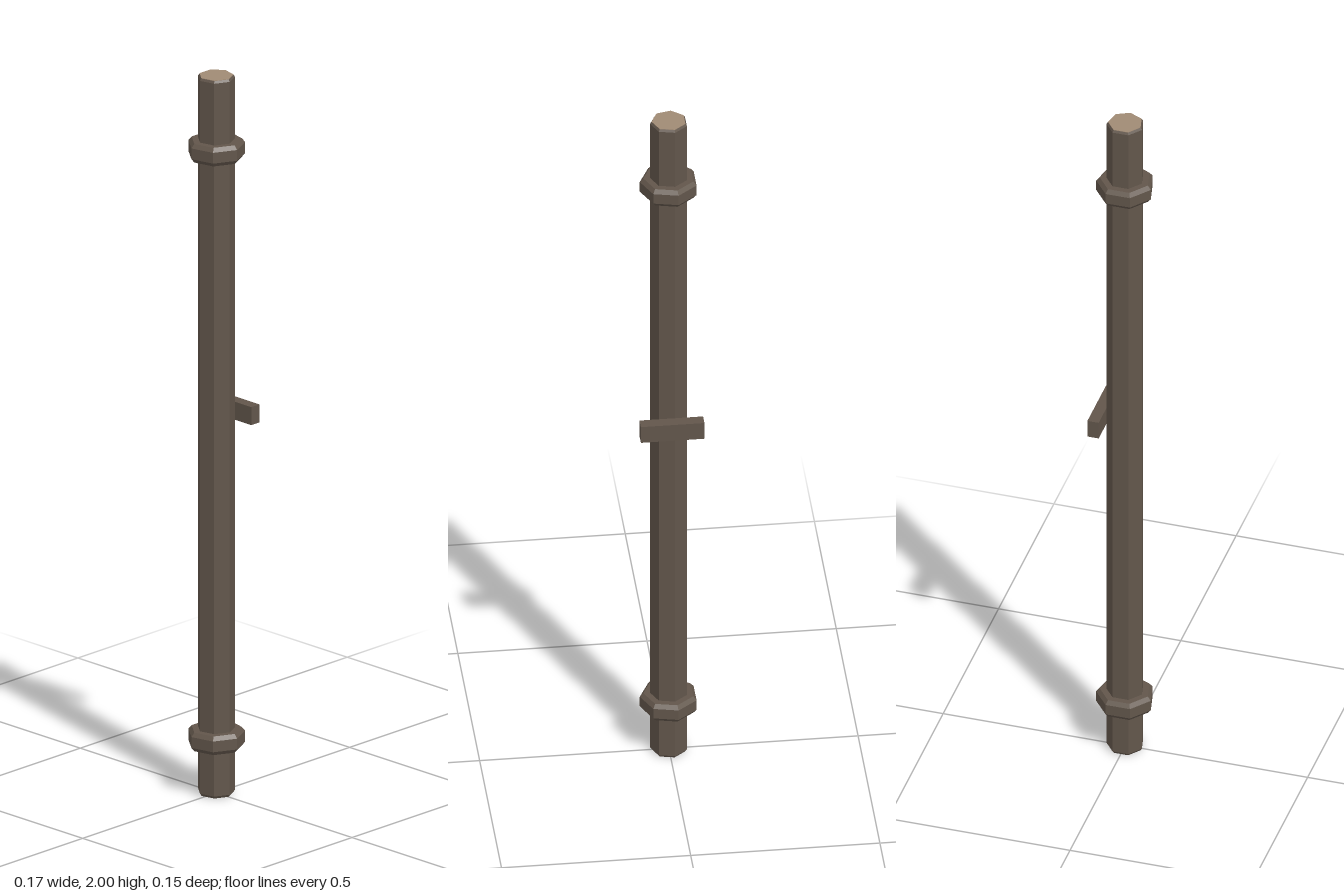
import * as THREE from 'three';

const SIDES = 7;

export function createModel() {
  const model = new THREE.Group();
  const bark = new THREE.MeshStandardMaterial({ color: 0x62564b, flatShading: true });
  bark.name = 'dark wood';
  const cut = new THREE.MeshStandardMaterial({ color: 0xa08a74, flatShading: true });
  cut.name = 'cut wood';

  const add = (name, geometry, material, x, y, z) => {
    const mesh = new THREE.Mesh(geometry, material);
    mesh.name = name;
    mesh.position.set(x, y, z);
    model.add(mesh);
    return mesh;
  };

  // Seven-sided turning with one corner on +x; profile runs bottom to top
  const turned = (profile) => new THREE.LatheGeometry(
    profile.map(([r, y]) => new THREE.Vector2(r, y)), SIDES, Math.PI / 2);

  // Pole with small bevels at both ends
  add('pole', turned([[0, 0], [0.045, 0], [0.05, 0.007], [0.05, 1.993], [0.046, 1.999]]),
    bark, 0, 0, 0);

  // Pale cut face on top
  const cap = new THREE.CylinderGeometry(0.046, 0.046, 0.004, SIDES, 1, false, Math.PI / 2);
  add('topCutFace', cap, cut, 0, 1.998, 0);

  // Bevelled collars near the ends
  const collar = turned([[0.045, -0.026], [0.068, -0.026], [0.077, -0.015],
    [0.077, 0.015], [0.068, 0.026], [0.045, 0.026]]);
  add('lowerCollar', collar, bark, 0, 0.155, 0);
  add('upperCollar', collar, bark, 0, 1.795, 0);

  // Crossbar on the back
  add('crossbar', new THREE.BoxGeometry(0.168, 0.05, 0.031), bark, -0.001, 1.058, -0.063);

  return model;
}
